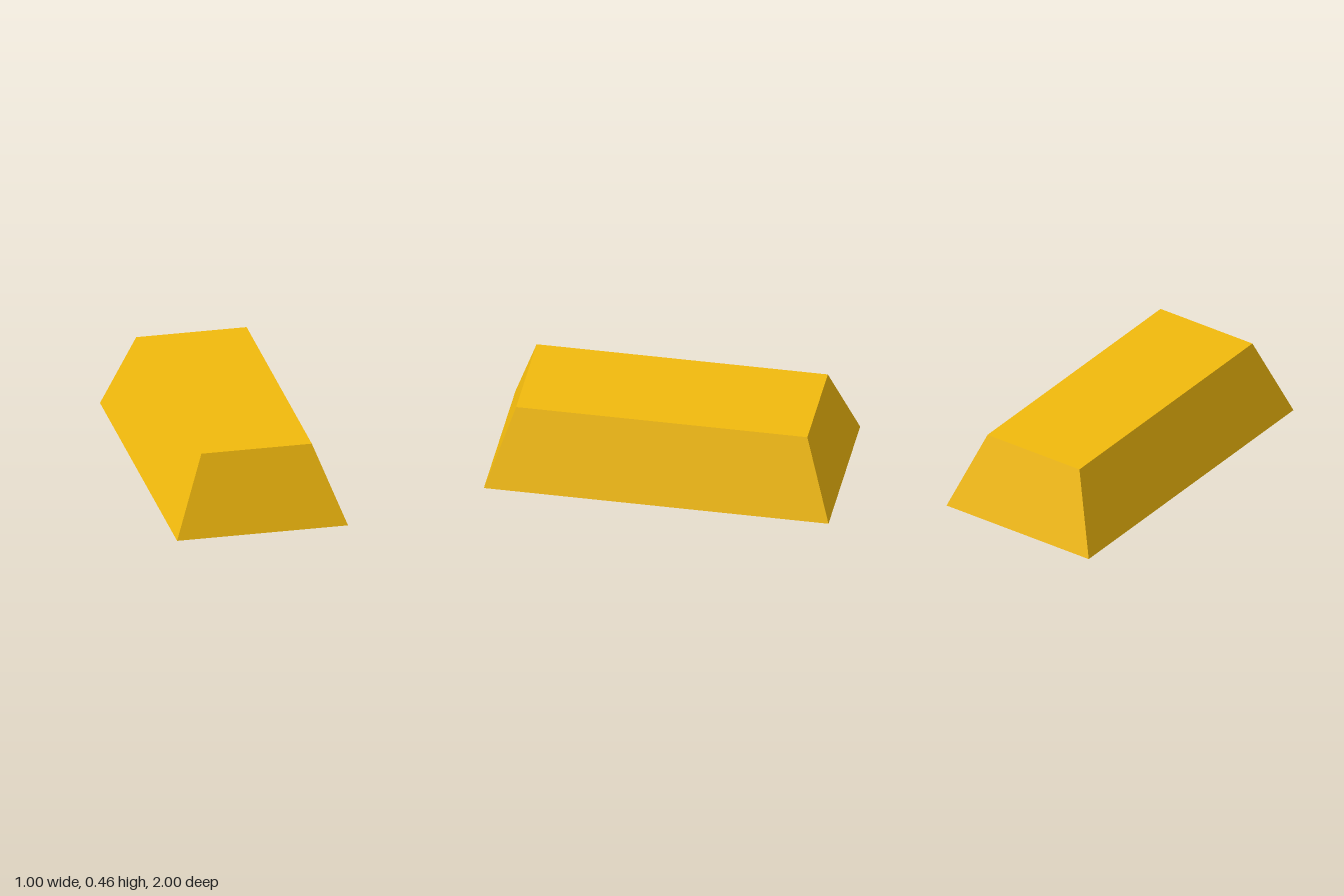
import * as THREE from 'three';

const HEIGHT = 0.46;
const BASE = { x: 0.5, z: 1 };
const TOP = { x: 0.323, z: 0.845 };

// Ingot body: a box whose upper corners are drawn inwards
function taperedBox() {
  const geometry = new THREE.BoxGeometry(BASE.x * 2, HEIGHT, BASE.z * 2);
  geometry.translate(0, HEIGHT / 2, 0);
  const p = geometry.attributes.position;
  for (let i = 0; i < p.count; i++) {
    if (p.getY(i) > HEIGHT / 2) {
      p.setX(i, Math.sign(p.getX(i)) * TOP.x);
      p.setZ(i, Math.sign(p.getZ(i)) * TOP.z);
    }
  }
  geometry.computeVertexNormals();
  return geometry;
}

export function createModel() {
  const group = new THREE.Group();
  group.name = 'goldBar';
  const gold = new THREE.MeshStandardMaterial({ color: 0xf2ba0d });
  const body = new THREE.Mesh(taperedBox(), gold);
  body.name = 'ingotBody';
  group.add(body);
  return group;
}
